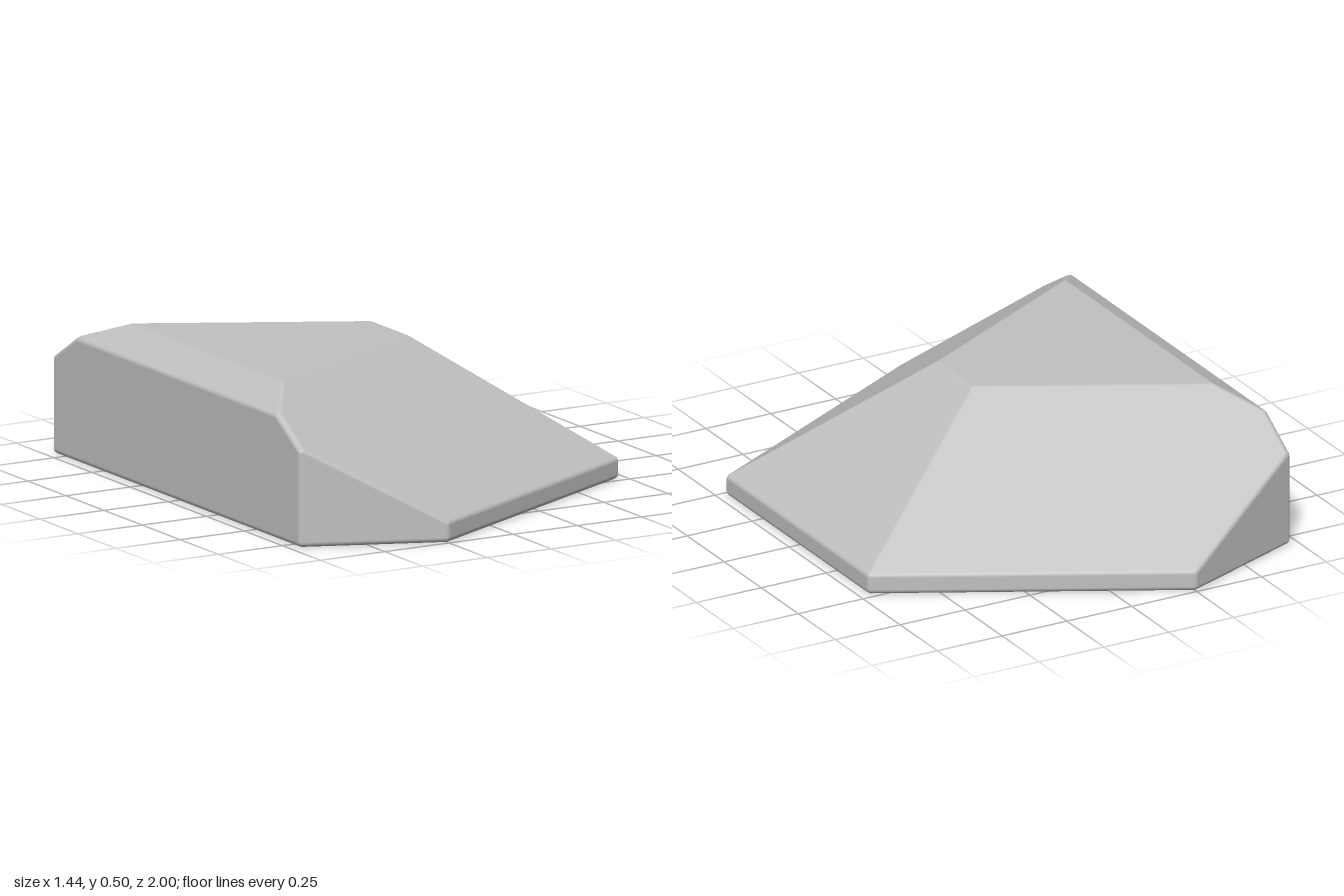
import * as THREE from 'three';
import { ConvexGeometry } from 'three/addons/geometries/ConvexGeometry.js';

const ROUND = 0.018; // radius of the softened edges

// A flat side: outward normal and a point it passes through
function side(normal, point) {
  const n = new THREE.Vector3(...normal).normalize();
  return { n, d: n.dot(new THREE.Vector3(...point)) };
}

// Point shared by three planes that are moved inward by r
function meet(a, b, c, r) {
  const bc = b.n.clone().cross(c.n);
  const det = a.n.dot(bc);
  if (Math.abs(det) < 1e-5) return null;
  return bc.multiplyScalar(a.d - r)
    .addScaledVector(c.n.clone().cross(a.n), b.d - r)
    .addScaledVector(a.n.clone().cross(b.n), c.d - r)
    .divideScalar(det);
}

// Convex solid bounded by planes, with every edge and corner rounded
function roundedSolid(planes, r) {
  const points = [], normals = [];
  const add = (p, n) => {
    n.normalize();
    const q = p.clone().addScaledVector(n, r);
    if (points.some((o) => o.distanceToSquared(q) < 1e-8)) return;
    points.push(q);
    normals.push(n);
  };
  const blend = (a, b, t) => a.clone().lerp(b, t);

  for (let i = 0; i < planes.length; i++)
    for (let j = i + 1; j < planes.length; j++)
      for (let k = j + 1; k < planes.length; k++) {
        const trio = [planes[i], planes[j], planes[k]];
        const p = meet(...trio, r);
        if (!p || planes.some((s) => s.n.dot(p) > s.d - r + 1e-6)) continue;
        const [a, b, c] = trio.map((s) => s.n);
        for (const n of [a, b, c]) add(p, n.clone());
        for (const [u, v] of [[a, b], [b, c], [c, a]])
          for (const t of [0.25, 0.5, 0.75]) add(p, blend(u, v, t));
        add(p, a.clone().add(b).add(c));
      }

  // Smooth normals: each corner takes the direction it was pushed out along
  const geometry = new ConvexGeometry(points);
  const pos = geometry.attributes.position, nor = geometry.attributes.normal;
  const v = new THREE.Vector3();
  for (let i = 0; i < pos.count; i++) {
    v.fromBufferAttribute(pos, i);
    let best = 0;
    points.forEach((p, m) => {
      if (p.distanceToSquared(v) < points[best].distanceToSquared(v)) best = m;
    });
    nor.setXYZ(i, normals[best].x, normals[best].y, normals[best].z);
  }
  return geometry;
}

export function createModel() {
  const group = new THREE.Group();
  group.name = 'facetedBlock';
  const grey = new THREE.MeshStandardMaterial({ color: 0xc0c0c0 });
  grey.name = 'light grey';

  const planes = [
    side([0, -1, 0], [0, 0, 0]),               // base
    side([0, 1, 0], [0, 0.495, 0]),            // flat top
    side([-1, 0, 0], [-0.72, 0, 0]),           // tall wall
    side([1, 0, 0], [0.72, 0, 0]),             // low rim
    side([0.425, 0.61, 0], [0.72, 0.07, 0]),   // long slope
    side([-0.07, 0.12, 0], [-0.6, 0.495, 0]),  // top chamfer
  ];
  for (const s of [1, -1]) {
    planes.push(
      side([0.52, 0, 0.97 * s], [-0.25, 0, s]),                // side rim
      side([0.2008, 0.605, 0.3746 * s], [-0.25, 0.07, s]),     // side slope
      side([-0.19, 0, 0.47 * s], [-0.25, 0, s]),               // corner wall
    );
  }

  const body = new THREE.Mesh(roundedSolid(planes, ROUND), grey);
  body.name = 'body';
  group.add(body);
  return group;
}
